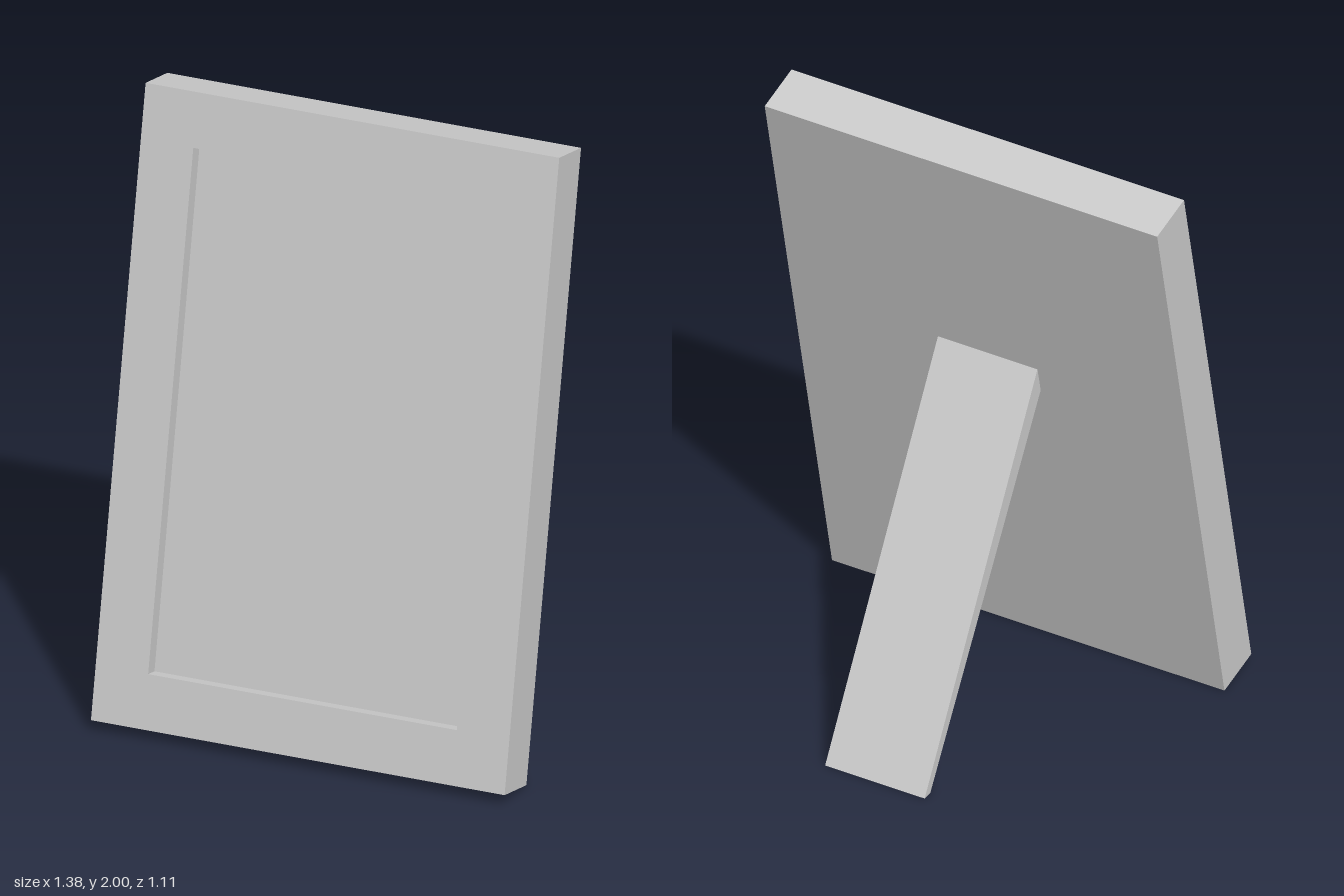
import * as THREE from 'three';

const WIDTH = 1.38, HEIGHT = 2.008, DEPTH = 0.169;
const BORDER = 0.175, RECESS = 0.049, LEAN = 0.208;

// Upright rectangle, inset from the outline, at depth z
function rect(inset, z) {
  const x = WIDTH / 2 - inset, b = inset, t = HEIGHT - inset;
  return [[-x, b, z], [x, b, z], [x, t, z], [-x, t, z]];
}

// Flat quads joining two four-cornered loops, or only the listed sides
function band(a, b, sides = [0, 1, 2, 3]) {
  const quads = sides.map((i) => {
    const j = (i + 1) % 4;
    return [a[i], a[j], b[j], b[i]];
  });
  return faces(quads);
}

function faces(quads) {
  const points = quads.flatMap(([p, q, r, s]) => [p, q, r, p, r, s]).flat();
  const geometry = new THREE.BufferGeometry();
  geometry.setAttribute('position', new THREE.Float32BufferAttribute(points, 3));
  geometry.computeVertexNormals();
  return geometry;
}

export function createModel() {
  const model = new THREE.Group();
  model.name = 'pictureFrame';
  const grey = new THREE.MeshStandardMaterial({ color: 0xcccccc, side: THREE.DoubleSide });
  grey.name = 'light grey';

  const add = (parent, name, geometry) => {
    const mesh = new THREE.Mesh(geometry, grey);
    mesh.name = name;
    parent.add(mesh);
  };

  // Leaning hollow frame, open along its bottom edge
  const frame = new THREE.Group();
  frame.name = 'frame';
  frame.position.set(0, DEPTH * Math.sin(LEAN), 0.555);
  frame.rotation.x = -LEAN;
  model.add(frame);

  const back = rect(0, -DEPTH), front = rect(0, 0);
  const opening = rect(BORDER, 0), floor = rect(BORDER, -RECESS);
  add(frame, 'outerEdges', band(back, front, [1, 2, 3]));
  add(frame, 'frontBorder', band(front, opening));
  add(frame, 'recessWalls', band(opening, floor));
  add(frame, 'picturePanel', faces([floor]));
  add(frame, 'backPanel', faces([[...back].reverse()]));

  // Tapered rear prop, open where it meets the ground and the back panel
  const propLoop = (zFront, yFront, zBack, yBack, x = 0.175) => [
    [-x, yFront, zFront], [x, yFront, zFront], [x, yBack, zBack], [-x, yBack, zBack],
  ];
  add(model, 'rearProp', band(propLoop(-0.52, 0, -0.555, 0), propLoop(0.16, 1.09, 0.14, 1.18)));

  return model;
}
